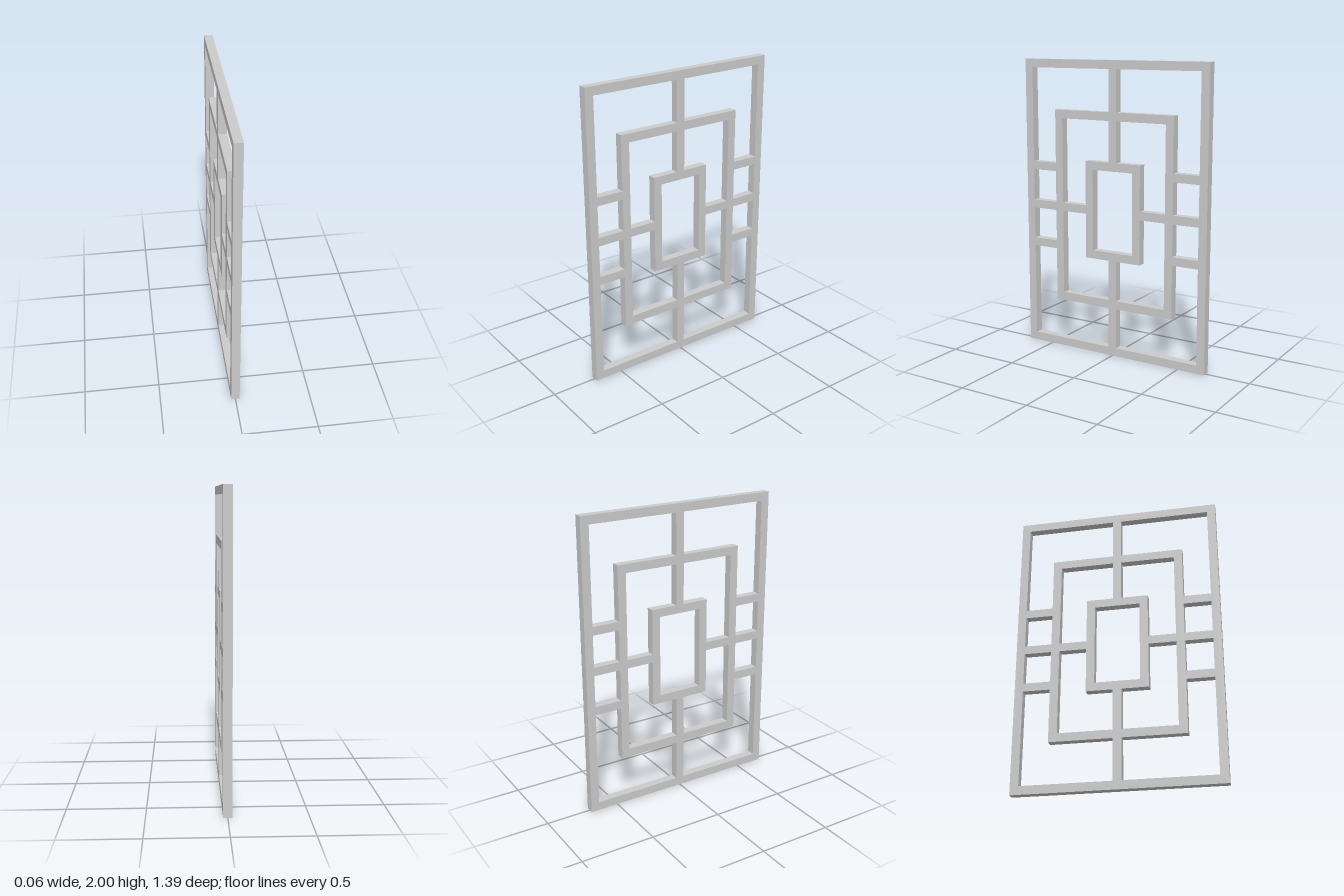
import * as THREE from 'three';

const DEPTH = 0.057; // thickness along x
const BAR = 0.057;   // visible width of every bar
const MID = 1;       // height of the panel centre

const material = new THREE.MeshStandardMaterial({ color: 0xcccccc, flatShading: true });

function rectangle(path, w, h) {
  path.moveTo(-w, -h);
  path.lineTo(w, -h);
  path.lineTo(w, h);
  path.lineTo(-w, h);
  path.closePath();
  return path;
}

// Rectangular frame in the YZ plane, given its outer half sizes
function frame(name, halfZ, halfY) {
  const shape = rectangle(new THREE.Shape(), halfZ, halfY);
  shape.holes.push(rectangle(new THREE.Path(), halfZ - BAR, halfY - BAR));
  const geometry = new THREE.ExtrudeGeometry(shape, { depth: DEPTH, bevelEnabled: false });
  geometry.translate(0, 0, -DEPTH / 2).rotateY(Math.PI / 2);
  const mesh = new THREE.Mesh(geometry, material);
  mesh.name = name;
  mesh.position.y = MID;
  return mesh;
}

// Straight bar between two frames
function bar(name, y, z, height, length) {
  const mesh = new THREE.Mesh(new THREE.BoxGeometry(DEPTH, height, length), material);
  mesh.name = name;
  mesh.position.set(0, y, z);
  return mesh;
}

export function createModel() {
  const group = new THREE.Group();
  group.name = 'latticePanel';

  // Three nested frames: outer half sizes in z and y
  const sizes = [[0.695, 1], [0.453, 0.665], [0.21, 0.333]];
  ['outerFrame', 'middleFrame', 'innerFrame'].forEach((name, i) => group.add(frame(name, ...sizes[i])));

  for (const side of [-1, 1]) {
    // Centre bars bridging each gap between neighbouring frames
    for (let i = 0; i < 2; i++) {
      const zOut = sizes[i][0] - BAR, zIn = sizes[i + 1][0];
      const yOut = sizes[i][1] - BAR, yIn = sizes[i + 1][1];
      group.add(bar('verticalBar', MID + side * (yOut + yIn) / 2, 0, yOut - yIn, BAR));
      group.add(bar('horizontalBar', MID, side * (zOut + zIn) / 2, BAR, zOut - zIn));
    }
    // Short side bars above and below the centre
    const zOut = sizes[0][0] - BAR, zIn = sizes[1][0];
    for (const dy of [-0.272, 0.272]) {
      group.add(bar('sideBar', MID + dy, side * (zOut + zIn) / 2, BAR, zOut - zIn));
    }
  }
  return group;
}
